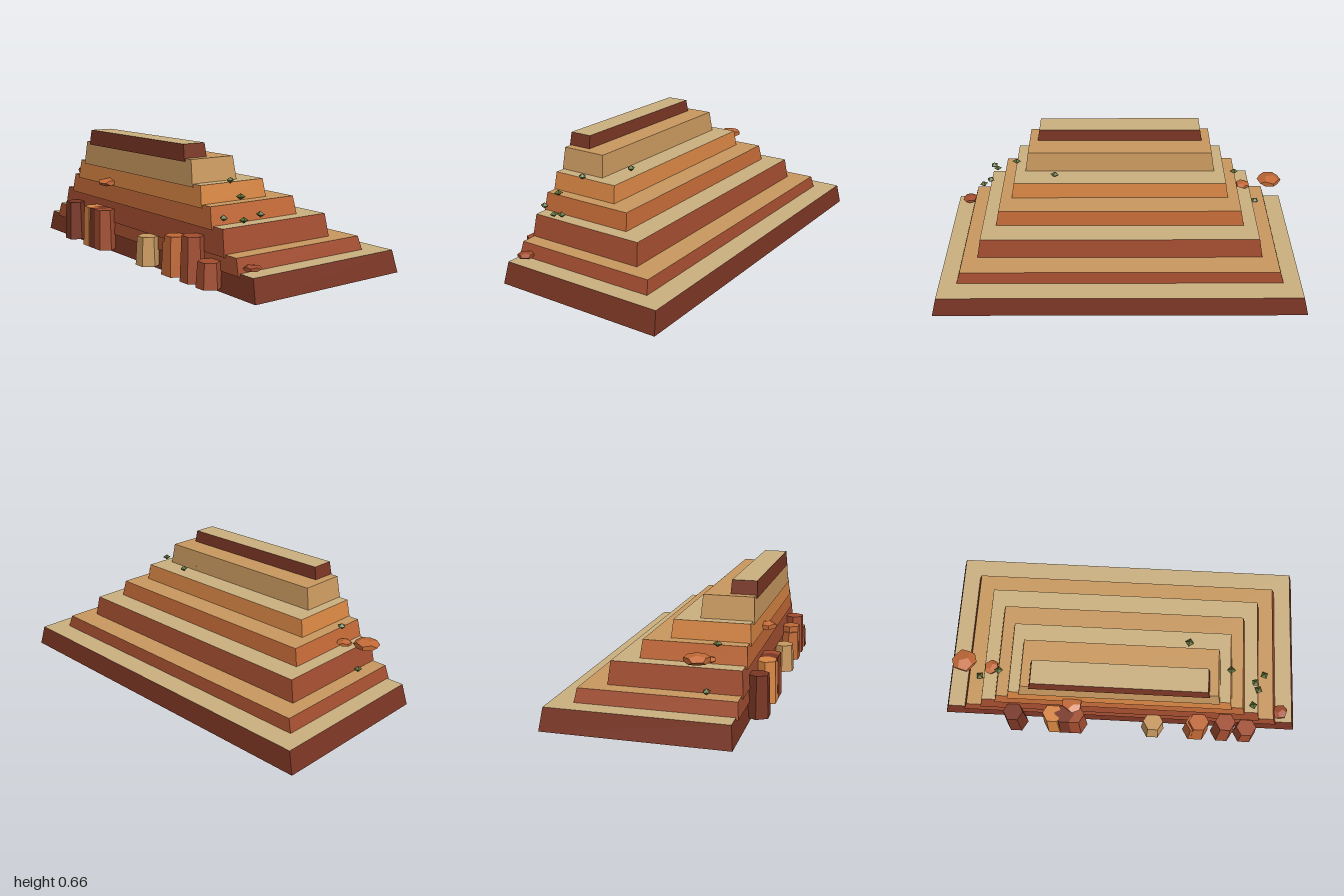
import * as THREE from 'three';

const mat = (name, color) => new THREE.MeshStandardMaterial({ name, color, side: THREE.DoubleSide });

export function createModel() {
  const group = new THREE.Group();
  group.name = 'steppedMesa';

  const maroon = mat('maroon rock', 0x7a3624);
  const rust = mat('rust rock', 0xa44e30);
  const orange = mat('orange rock', 0xc46a37);
  const amber = mat('amber rock', 0xd98744);
  const sand = mat('sand rock', 0xcb9a60);
  const pale = mat('pale sand', 0xcdb281);
  const green = mat('scrub green', 0x5c6a30);

  const add = (name, geometry, material, parent = group) => {
    const mesh = new THREE.Mesh(geometry, material);
    mesh.name = name;
    parent.add(mesh);
    return mesh;
  };

  // A tapered block without a floor: walls and top are separate meshes
  function terrace(name, y0, y1, halfBottom, halfTop, backBottom, backTop, frontTop, wall, top) {
    const box = new THREE.BoxGeometry(2, 1, 1);
    const p = box.attributes.position;
    for (let i = 0; i < p.count; i++) {
      const up = p.getY(i) > 0;
      const front = p.getZ(i) > 0;
      p.setXYZ(i,
        p.getX(i) * (up ? halfTop : halfBottom),
        up ? y1 : y0,
        front ? (up ? frontTop : 0.42) : (up ? backTop : backBottom));
    }
    const index = Array.from(box.index.array);
    const part = (faces) => {
      const g = box.clone();
      g.clearGroups();
      g.setIndex(faces.flatMap((f) => index.slice(f * 6, f * 6 + 6)));
      const flat = g.toNonIndexed();
      flat.computeVertexNormals();
      return flat;
    };
    const tier = new THREE.Group();
    tier.name = name;
    add('terraceWalls', part([0, 1, 4, 5]), wall, tier);
    add('terraceTop', part([2]), top, tier);
    group.add(tier);
  }

  // Terraces from the ground up, each sunk slightly into the one below
  [
    [0, 0.112, 1, 0.97, -0.51, -0.497, 0.408, maroon, pale],
    [0.1, 0.18, 0.88, 0.855, -0.382, -0.37, 0.412, rust, sand],
    [0.167, 0.295, 0.777, 0.752, -0.248, -0.236, 0.41, rust, pale],
    [0.28, 0.385, 0.682, 0.66, -0.115, -0.103, 0.412, orange, sand],
    [0.37, 0.475, 0.602, 0.583, 0.02, 0.03, 0.412, amber, pale],
    [0.46, 0.59, 0.53, 0.508, 0.15, 0.16, 0.412, sand, sand],
    [0.575, 0.658, 0.465, 0.45, 0.285, 0.29, 0.415, maroon, pale],
  ].forEach((t, i) => terrace('terrace' + (i + 1), ...t));

  // Hexagonal columns along the front cliff: x, top height, rock
  [
    [-0.583, 0.235, maroon],
    [-0.365, 0.24, amber],
    [-0.3, 0.24, maroon],
    [-0.245, 0.24, rust],
    [0.19, 0.17, sand],
    [0.425, 0.185, orange],
    [0.44, 0.218, orange],
    [0.583, 0.243, rust],
    [0.71, 0.145, rust],
  ].forEach(([x, top, rock]) => {
    const geo = new THREE.CylinderGeometry(0.055, 0.064, top - 0.02, 6).toNonIndexed();
    geo.computeVertexNormals();
    const column = add('rockColumn', geo, rock);
    column.rotation.y = Math.PI / 6;
    column.position.set(x, (top + 0.02) / 2, 0.455);
  });

  // Flattened boulders: x, y, z, radius, turn, rock
  [
    [-0.855, 0.368, 0.22, 0.068, 0.3, orange],
    [-0.71, 0.323, 0.235, 0.042, 1.1, orange],
    [-0.25, 0.388, 0.425, 0.062, 2, orange],
    [0.9, 0.135, 0.355, 0.044, 0.7, rust],
    [0.05, 0.085, 0.24, 0.045, 0.5, maroon],
    [-0.53, 0.085, 0.27, 0.045, 1.4, maroon],
  ].forEach(([x, y, z, r, turn, rock]) => {
    const boulder = add('boulder', new THREE.DodecahedronGeometry(r, 0), rock);
    boulder.scale.y = 0.38;
    boulder.rotation.y = turn;
    boulder.position.set(x, y, z);
  });

  // Small scrub bushes, some low in the base
  [
    [0.585, 0.485, 0.235], [0.72, 0.428, 0.28], [0.72, 0.338, 0.38],
    [0.752, 0.322, 0.287], [0.78, 0.346, 0.21], [0.36, 0.492, 0.095],
    [0.33, 0.5, 0.17], [-0.66, 0.39, 0.27], [-0.795, 0.195, 0.25],
    [0.64, 0.1, 0.14], [0.42, 0.1, 0.18], [0.34, 0.1, 0.28],
    [-0.05, 0.1, 0.06], [-0.5, 0.1, 0.23], [-0.63, 0.1, 0.13], [-0.83, 0.1, 0.13],
  ].forEach(([x, y, z], i) => {
    const bush = add('scrubBush', new THREE.OctahedronGeometry(0.023, 0), green);
    bush.scale.y = 0.7;
    bush.rotation.y = i * 0.9;
    bush.position.set(x, y, z);
  });

  return group;
}
